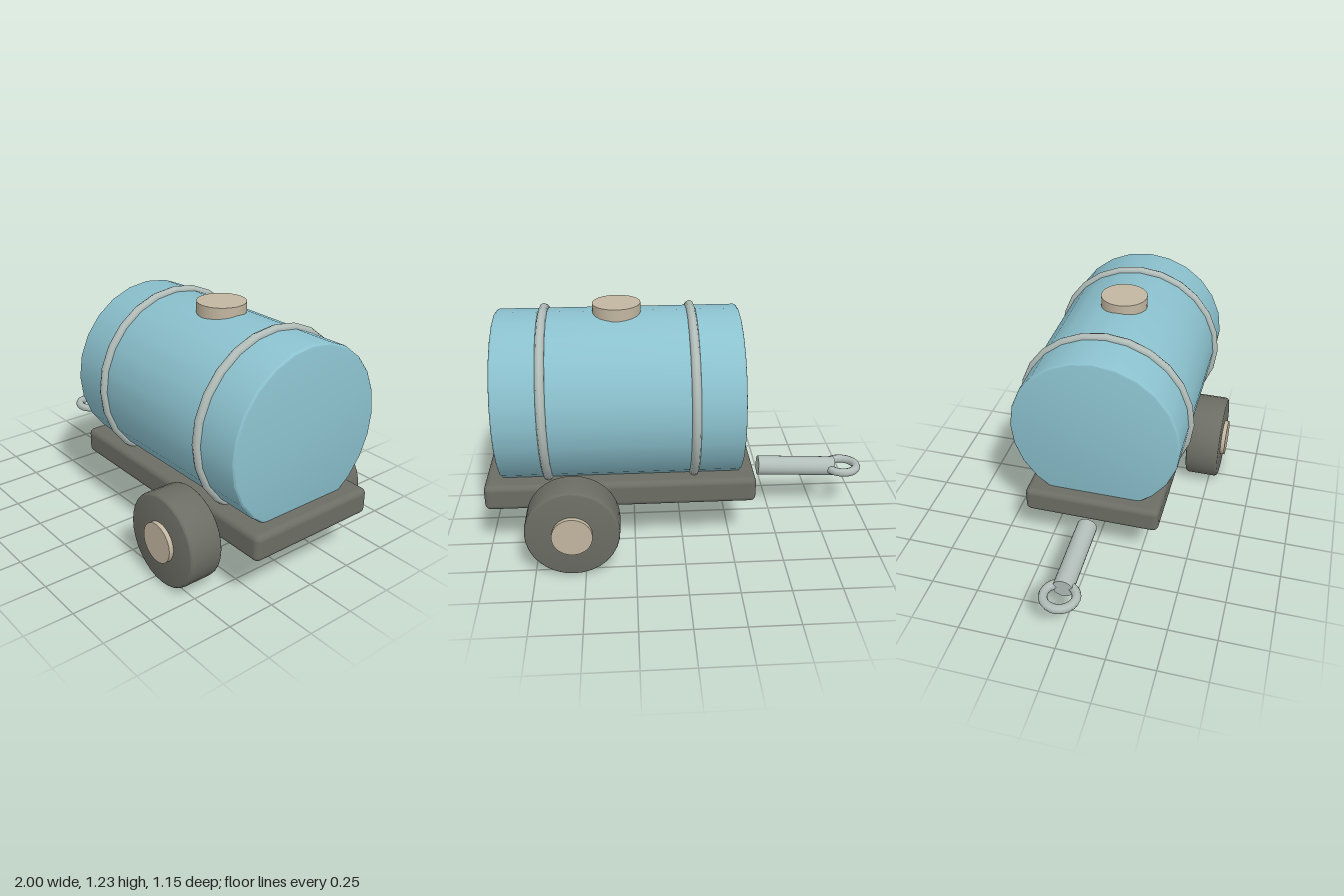
import * as THREE from 'three';
import { toCreasedNormals } from 'three/addons/utils/BufferGeometryUtils.js';
import { RoundedBoxGeometry } from 'three/addons/geometries/RoundedBoxGeometry.js';

const paint = (name, color) => {
  const m = new THREE.MeshStandardMaterial({ color });
  m.name = name;
  return m;
};

// Solid drum along y with softly rounded rims
function drum(radius, length, bevel, sides) {
  const h = length / 2, pts = [new THREE.Vector2(0, -h)];
  for (const end of [-1, 1]) {
    for (let i = 0; i <= 3; i++) {
      const a = (end < 0 ? i - 3 : i) * Math.PI / 6;
      pts.push(new THREE.Vector2(radius - bevel + bevel * Math.cos(a), end * (h - bevel) + bevel * Math.sin(a)));
    }
  }
  pts.push(new THREE.Vector2(0, h));
  return toCreasedNormals(new THREE.LatheGeometry(pts, sides), 0.45);
}

export function createModel() {
  const model = new THREE.Group();
  model.name = 'tankTrailer';
  const blue = paint('tankBlue', 0x8bc1ce);
  const dark = paint('darkGrey', 0x6c6e65);
  const steel = paint('paleSteel', 0xb2beba);
  const beige = paint('beige', 0xc2b6a0);

  const add = (name, geometry, material, x, y, z) => {
    const mesh = new THREE.Mesh(geometry, material);
    mesh.name = name;
    mesh.position.set(x, y, z);
    model.add(mesh);
    return mesh;
  };

  // Flat bed
  add('bed', new RoundedBoxGeometry(1.37, 0.135, 0.71, 3, 0.03), dark, 0.315, 0.332, 0);

  // Tank lying along x, with its straps and filler cap
  add('tank', drum(0.437, 1.22, 0.018, 24), blue, 0.31, 0.75, 0).rotation.z = -Math.PI / 2;
  for (const x of [-0.057, 0.68]) {
    add('strap', new THREE.TorusGeometry(0.438, 0.023, 8, 24), steel, x, 0.75, 0).rotation.y = Math.PI / 2;
  }
  add('fillerCap', new THREE.CylinderGeometry(0.12, 0.12, 0.07, 32), beige, 0.313, 1.195, 0);

  // Wheels and hubs
  for (const side of [1, -1]) {
    add('wheel', drum(0.234, 0.182, 0.018, 32), dark, 0.558, 0.236, side * 0.461).rotation.x = Math.PI / 2;
    add('hub', new THREE.CylinderGeometry(0.1, 0.1, 0.205, 32), beige, 0.558, 0.236, side * 0.4725).rotation.x = Math.PI / 2;
  }

  // Slightly tilted drawbar with a towing ring
  add('drawbar', new THREE.CylinderGeometry(0.052, 0.052, 0.422, 20), steel, -0.639, 0.272, 0).rotation.z = -Math.PI / 2 + 0.05;
  add('towRing', new THREE.TorusGeometry(0.08, 0.023, 8, 24), steel, -0.897, 0.262, 0).rotation.x = Math.PI / 2;

  return model;
}
